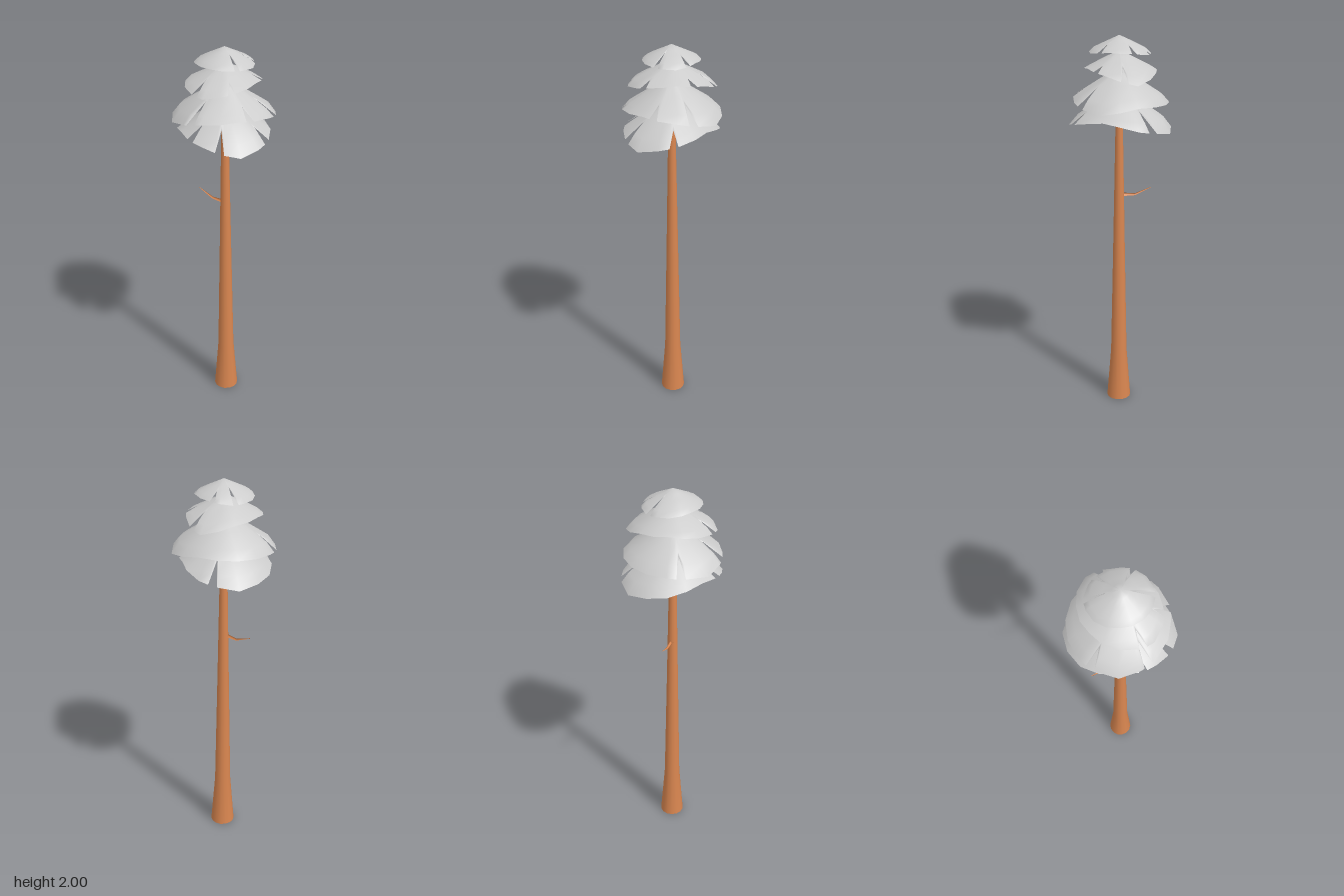
import * as THREE from 'three';

const bark = new THREE.MeshStandardMaterial({ color: 0xd98650 });
const leaf = new THREE.MeshStandardMaterial({ color: 0xcccccc, side: THREE.DoubleSide });

function add(group, name, geometry, material) {
  const mesh = new THREE.Mesh(geometry, material);
  mesh.name = name;
  group.add(mesh);
  return mesh;
}

// Trunk: flared foot, long taper, slight lean towards the centre
function trunkGeometry() {
  const profile = [[0.065, 0], [0.043, 0.29], [0.031, 0.9], [0.018, 1.6], [0.006, 1.97]];
  const g = new THREE.LatheGeometry(profile.map(([r, y]) => new THREE.Vector2(r, y)), 14);
  const p = g.attributes.position;
  for (let i = 0; i < p.count; i++) p.setX(i, p.getX(i) + 0.01 * (1 - p.getY(i) / 2));
  return g;
}

// Bare twig: a tapered rod whose rings are moved onto a bent path
function twigGeometry() {
  const path = [[-0.005, 1.19, -0.005], [-0.045, 1.187, -0.07], [-0.095, 1.22, -0.14]];
  const g = new THREE.CylinderGeometry(0.0015, 0.01, 2, 6, 2);
  const p = g.attributes.position;
  for (let i = 0; i < p.count; i++) {
    const [x, y, z] = path[Math.round(p.getY(i) + 1)];
    const a = p.getX(i), b = p.getZ(i);
    p.setXYZ(i, x + 0.83 * a, y - b, z - 0.56 * a);
  }
  g.computeVertexNormals();
  return g;
}

// Droop along the radius: sloping crown, flatter middle, steep tip
function droop(t) {
  if (t < 0.5) return 0.84 * t;
  if (t < 0.85) return 0.42 + (t - 0.5) * 0.857;
  return 0.72 + (t - 0.85) * 1.867;
}

// Rim of a skirt as [degrees, radius], with V-shaped tears cut into it
function rimPoints({ radii, tears }) {
  const radiusAt = (deg) => {
    const u = ((deg + 360) % 360) / 45, i = Math.floor(u);
    return THREE.MathUtils.lerp(radii[i], radii[(i + 1) % 8], u - i);
  };
  const rim = [];
  for (let deg = 0; deg < 360; deg += 22.5) {
    if (tears.every(([at]) => Math.abs(at - deg) > 9)) rim.push([deg, radiusAt(deg)]);
  }
  for (const [at, depth] of tears) {
    rim.push([at - 5, radiusAt(at - 5)], [at, depth], [at + 5, radiusAt(at + 5)]);
  }
  return rim.sort((a, b) => a[0] - b[0]);
}

// Foliage skirt: a thin sheet drooping from its apex to the torn rim
function skirtGeometry(tier) {
  const steps = [0.25, 0.5, 0.85, 1];
  const rim = rimPoints(tier);
  const n = rim.length, rings = steps.length;
  const pos = [0, tier.top, 0], index = [];
  for (const [deg, r] of rim) {
    const a = THREE.MathUtils.degToRad(deg);
    for (const s of steps) {
      const y = tier.top - tier.drop * droop(s * r / tier.reach);
      pos.push(Math.cos(a) * r * s, y, Math.sin(a) * r * s);
    }
  }
  for (let i = 0; i < n; i++) {
    const a = 1 + i * rings, b = 1 + ((i + 1) % n) * rings;
    index.push(0, b, a);
    for (let k = 0; k < rings - 1; k++) {
      index.push(a + k, b + k, b + k + 1, a + k, b + k + 1, a + k + 1);
    }
  }
  const g = new THREE.BufferGeometry();
  g.setAttribute('position', new THREE.Float32BufferAttribute(pos, 3));
  g.setIndex(index);
  g.computeVertexNormals();
  return g;
}

// Tiers from the top down: rim radii every 45 degrees from +x towards +z,
// and tears as [degrees, distance of the tear's tip from the centre]
const tiers = [
  { top: 2.0, drop: 0.08, reach: 0.148,
    radii: [0.137, 0.15, 0.146, 0.14, 0.14, 0.152, 0.156, 0.142],
    tears: [[20, 0.08], [83, 0.06], [265, 0.065], [308, 0.09]] },
  { top: 1.93, drop: 0.125, reach: 0.21,
    radii: [0.187, 0.165, 0.185, 0.21, 0.195, 0.18, 0.19, 0.225],
    tears: [[17, 0.128], [97, 0.14], [150, 0.135], [331, 0.135]] },
  { top: 1.85, drop: 0.2, reach: 0.265,
    radii: [0.262, 0.238, 0.224, 0.237, 0.262, 0.252, 0.246, 0.24],
    tears: [[28, 0.15], [75, 0.155], [148, 0.14], [210, 0.175]] },
  { top: 1.75, drop: 0.215, reach: 0.27,
    radii: [0.21, 0.24, 0.265, 0.237, 0.22, 0.25, 0.269, 0.245],
    tears: [[50, 0.17], [112, 0.16], [152, 0.145], [298, 0.15]] },
];

export function createModel() {
  const tree = new THREE.Group();
  tree.name = 'tree';

  add(tree, 'trunk', trunkGeometry(), bark);
  const base = add(tree, 'trunkBase', new THREE.CircleGeometry(0.065, 14), bark);
  base.rotation.x = Math.PI / 2;
  base.position.x = 0.01;
  add(tree, 'twig', twigGeometry(), bark);

  const foliage = new THREE.Group();
  foliage.name = 'foliage';
  tiers.forEach((tier, i) => add(foliage, `foliageTier${i + 1}`, skirtGeometry(tier), leaf));
  tree.add(foliage);
  return tree;
}
